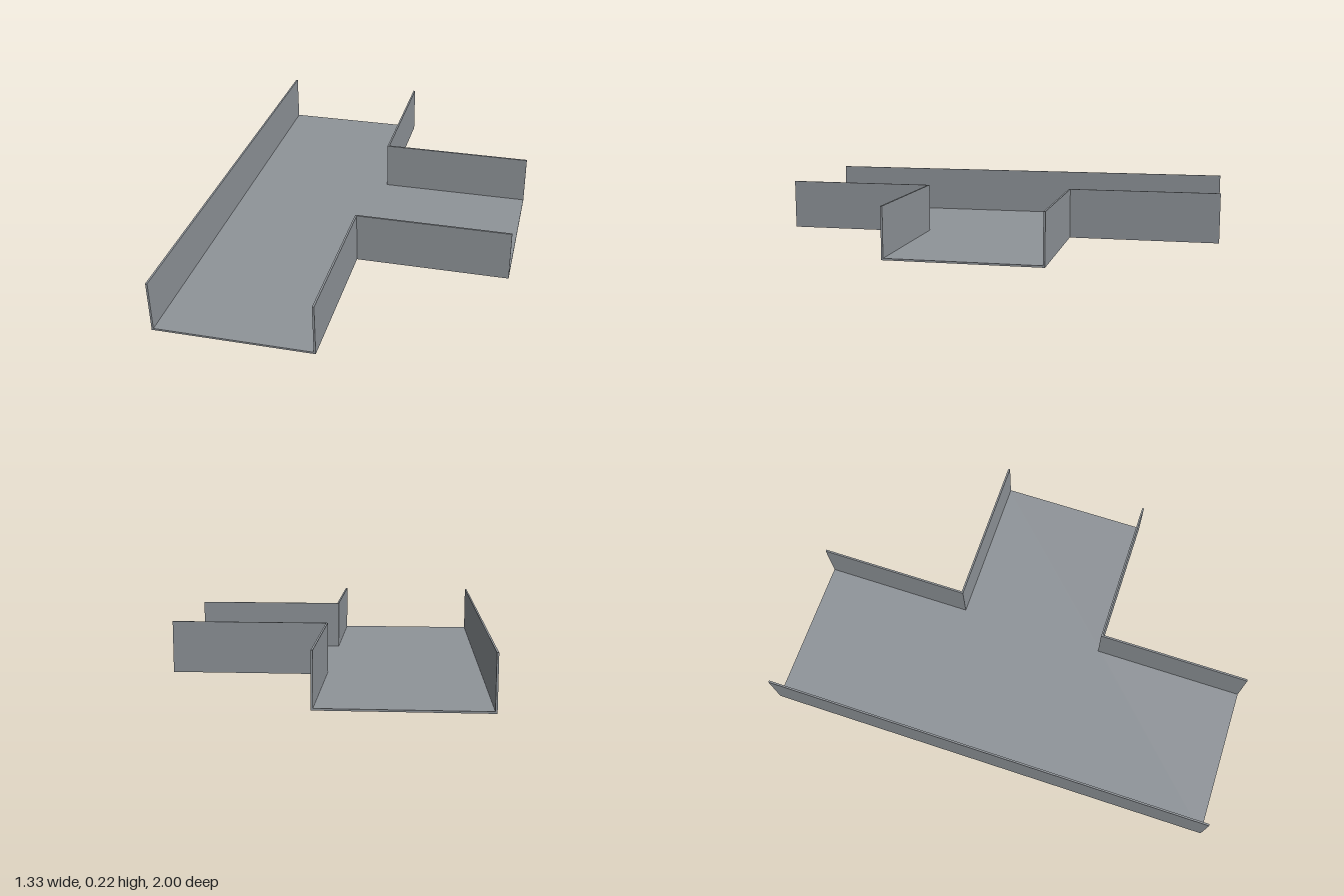
import * as THREE from 'three';

const T = 0.008;      // sheet thickness
const H = 0.222;      // overall height
const X0 = -0.667, X1 = 0.667; // closed side and branch mouth
const XC = 0.004;     // outer face of the walls beside the branch
const ZB = 0.336;     // half width of the branch

export function createModel() {
  const model = new THREE.Group();
  model.name = 'trayTee';
  const steel = new THREE.MeshStandardMaterial({ color: 0x8f9499 });
  steel.name = 'galvanised grey';

  const add = (name, geometry) => {
    const mesh = new THREE.Mesh(geometry, steel);
    mesh.name = name;
    model.add(mesh);
  };

  // T-shaped floor plate
  const outline = [[X0, -1], [XC, -1], [XC, -ZB], [X1, -ZB], [X1, ZB], [XC, ZB], [XC, 1], [X0, 1]];
  const shape = new THREE.Shape(outline.map(([x, z]) => new THREE.Vector2(x, z)));
  const floor = new THREE.ExtrudeGeometry(shape, { depth: T, bevelEnabled: false });
  floor.rotateX(-Math.PI / 2);
  add('floor', floor);

  // Upright walls standing on the floor
  const wall = (name, xa, xb, za, zb) => {
    const g = new THREE.BoxGeometry(xb - xa, H - T, Math.abs(zb - za));
    g.translate((xa + xb) / 2, (H + T) / 2, (za + zb) / 2);
    add(name, g);
  };
  wall('longWall', X0, X0 + T, -1, 1);
  for (const [side, s] of [['front', 1], ['back', -1]]) {
    wall(side + 'RunWall', XC - T, XC, s * (ZB - T), s);
    wall(side + 'BranchWall', XC, X1, s * (ZB - T), s * ZB);
  }
  return model;
}
